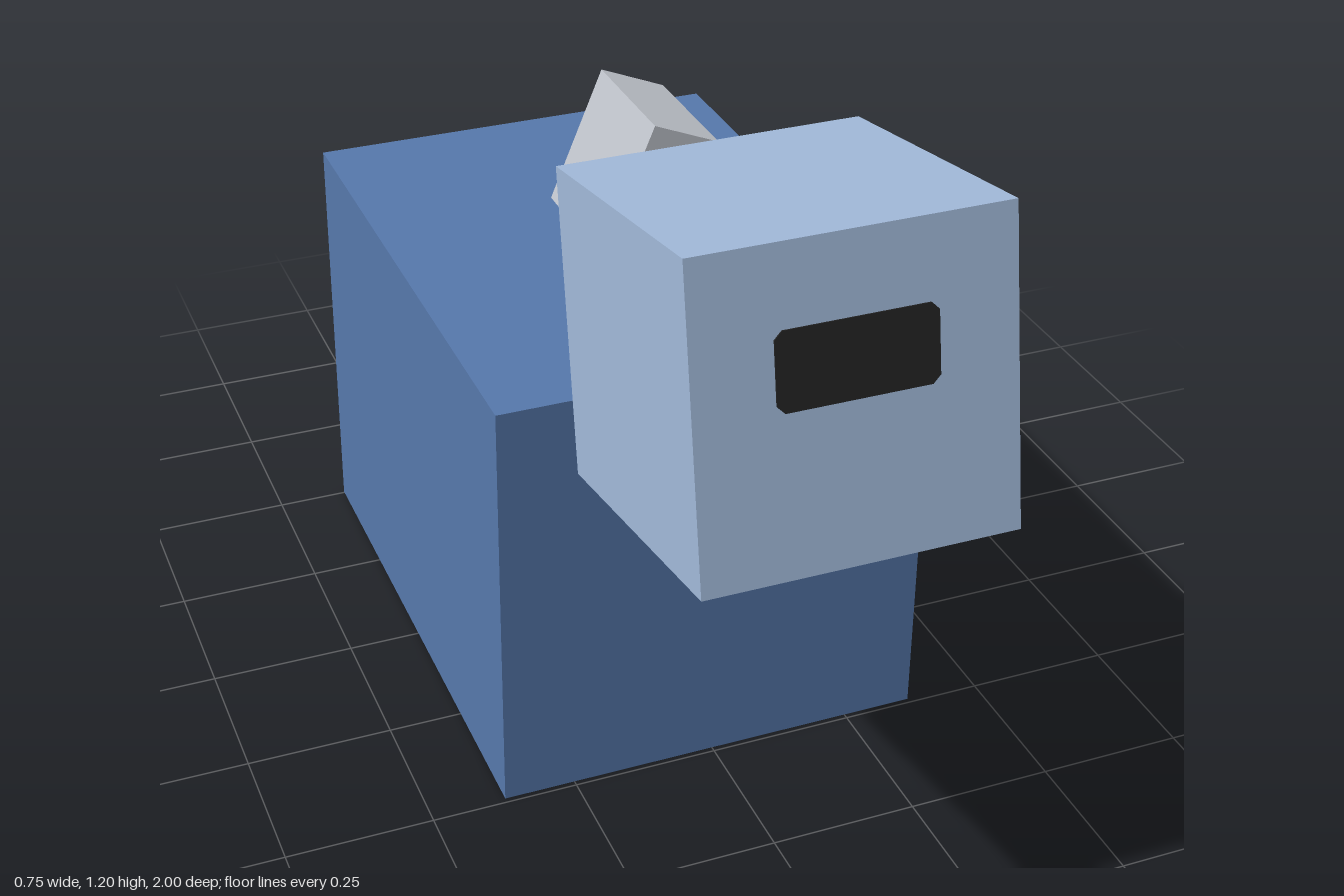
import * as THREE from 'three';

const material = (name, color) => {
  const m = new THREE.MeshStandardMaterial({ color });
  m.name = name;
  return m;
};

export function createModel() {
  const model = new THREE.Group();
  model.name = 'boxAnimal';

  const blue = material('bodyBlue', 0x5577aa);
  const paleBlue = material('headPaleBlue', 0xa0b8d8);
  const grey = material('lightGrey', 0xc0c4cc);
  const black = material('visorBlack', 0x222222);

  const box = (name, mat, size, position) => {
    const mesh = new THREE.Mesh(new THREE.BoxGeometry(...size), mat);
    mesh.name = name;
    mesh.position.set(...position);
    return mesh;
  };

  // Body standing on the ground
  model.add(box('body', blue, [0.745, 0.745, 0.993], [0, 0.3725, -0.006]));

  // Flat tail sticking straight back
  model.add(box('tail', grey, [0.248, 0.124, 0.498], [0, 0.312, -0.751]));

  // Key on the back, leaning sideways
  const key = box('backKey', grey, [0.124, 0.248, 0.248], [0.045, 0.861, -0.006]);
  key.rotation.z = -Math.PI / 8;
  model.add(key);

  // Head tipped upward, with its visor
  const head = new THREE.Group();
  head.name = 'head';
  head.position.set(0, 0.913, 0.714);
  head.rotation.x = -THREE.MathUtils.degToRad(10);
  head.add(box('headBlock', paleBlue, [0.496, 0.496, 0.496], [0, 0, 0]));

  // Visor: thin plate with clipped corners
  const w = 0.124, h = 0.06, c = 0.012;
  const outline = new THREE.Shape([
    [w - c, -h], [w, c - h], [w, h - c], [w - c, h],
    [c - w, h], [-w, h - c], [-w, c - h], [c - w, -h],
  ].map(([x, y]) => new THREE.Vector2(x, y)));
  const visor = new THREE.Mesh(
    new THREE.ExtrudeGeometry(outline, { depth: 0.004, bevelEnabled: false }), black);
  visor.name = 'visor';
  visor.position.set(0, 0.063, 0.2465);
  head.add(visor);
  model.add(head);

  return model;
}
